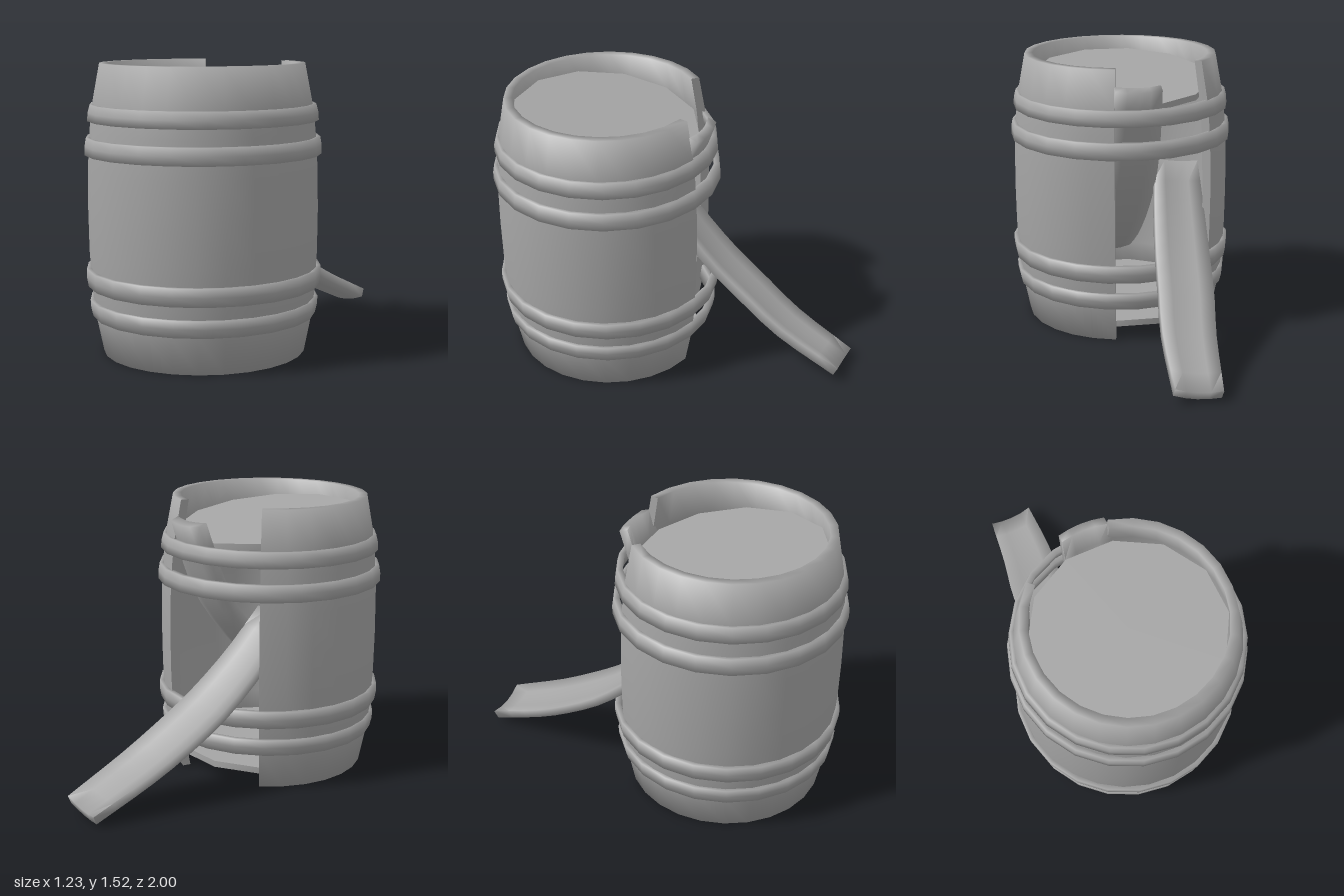
import * as THREE from 'three';
import { toCreasedNormals } from 'three/addons/utils/BufferGeometryUtils.js';

const CENTER_Z = 0.38;
const GAP_LEFT = Math.PI - 0.22; // angles of the broken opening at the back
const GAP_RIGHT = Math.PI + 0.79;
const SOFT = 1.8; // crease angle that keeps even square edges softly shaded

const material = new THREE.MeshStandardMaterial({ color: 0xa5a5a5 });
const doubleSided = new THREE.MeshStandardMaterial({ color: 0xa5a5a5, side: THREE.DoubleSide });

function addMesh(parent, name, geometry, mat = material) {
  const mesh = new THREE.Mesh(geometry, mat);
  mesh.name = name;
  parent.add(mesh);
  return mesh;
}

const toPoints = (list) => list.map(([x, y]) => new THREE.Vector2(x, y));

// Revolves a closed outline (outer side going up, inner side coming down)
function ring(outline, segments, start = 0, length = Math.PI * 2) {
  const pts = toPoints([...outline, outline[0]]);
  return toCreasedNormals(new THREE.LatheGeometry(pts, segments, start, length), SOFT);
}

// A loose stave: a box bent along a path, rolled, bowed across and wider in the middle
function looseStave(path, endWidth, midWidth, thickness, roll) {
  const curve = new THREE.CatmullRomCurve3(path.map((p) => new THREE.Vector3(...p)));
  const geo = new THREE.BoxGeometry(1, 1, 1, 4, 12, 1);
  const pos = geo.attributes.position;
  const v = new THREE.Vector3();
  for (let i = 0; i < pos.count; i++) {
    v.fromBufferAttribute(pos, i);
    const t = THREE.MathUtils.clamp(v.y + 0.5, 0, 1);
    const tangent = curve.getTangentAt(t);
    const side = new THREE.Vector3(-1, -roll, 0);
    side.addScaledVector(tangent, -side.dot(tangent)).normalize();
    const outward = new THREE.Vector3().crossVectors(side, tangent);
    const width = THREE.MathUtils.lerp(endWidth, midWidth, Math.sin(Math.PI * t));
    const bow = 0.02 * (0.5 - 4 * v.x * v.x);
    const p = curve.getPointAt(t)
      .addScaledVector(side, v.x * width)
      .addScaledVector(outward, v.z * thickness + bow);
    pos.setXYZ(i, p.x, p.y, p.z);
  }
  return toCreasedNormals(geo, SOFT);
}

export function createModel() {
  const model = new THREE.Group();
  model.name = 'brokenBarrel';
  const barrel = new THREE.Group();
  barrel.name = 'barrel';
  barrel.position.z = CENTER_Z;
  model.add(barrel);

  // Bulging wall, open at the back where two staves have come loose
  const wall = [
    [0.535, 0.01], [0.575, 0.21], [0.59, 0.34], [0.602, 0.55], [0.605, 0.77],
    [0.602, 0.99], [0.59, 1.19], [0.575, 1.32], [0.535, 1.53],
    [0.49, 1.53], [0.525, 1.32], [0.545, 1.1], [0.555, 0.77],
    [0.545, 0.44], [0.525, 0.21], [0.49, 0.01],
  ];
  const sweep = Math.PI * 2 - (GAP_RIGHT - GAP_LEFT);
  addMesh(barrel, 'wall', ring(wall, 22, GAP_RIGHT, sweep));

  // Cut faces of the wall on both sides of the opening
  for (const [name, angle] of [['wallEndLeft', GAP_LEFT], ['wallEndRight', GAP_RIGHT]]) {
    const cut = new THREE.ShapeGeometry(new THREE.Shape(toPoints(wall)));
    addMesh(barrel, name, cut.rotateY(angle - Math.PI / 2), doubleSided);
  }

  // Lid, sagging towards the opening, and level bottom board
  for (const [name, y, tilt] of [['lid', 1.375, -0.13], ['bottom', 0.09, 0]]) {
    const disc = new THREE.CylinderGeometry(0.505, 0.505, 0.035, 12, 1, false, Math.PI / 12);
    const mesh = addMesh(barrel, name, toCreasedNormals(disc, 0.6));
    mesh.position.y = y;
    mesh.rotation.x = tilt;
  }

  // Hoops: bottom height, top height, outer radius below and above
  const hoops = [
    [0.21, 0.3, 0.59, 0.604], [0.37, 0.465, 0.612, 0.62],
    [1.06, 1.15, 0.62, 0.612], [1.235, 1.32, 0.604, 0.59],
  ];
  hoops.forEach(([y0, y1, r0, r1], i) => {
    const outline = [
      [r0 - 0.03, y0], [r0, y0], [(r0 + r1) / 2 + 0.004, (y0 + y1) / 2], [r1, y1], [r1 - 0.03, y1],
    ];
    addMesh(barrel, `hoop${i + 1}`, ring(outline, 22));
  });

  // Stave fallen inwards, its top still caught behind the upper hoops
  addMesh(model, 'staveFallenIn', looseStave(
    [[0, 0.25, 0.78], [0, 0.4, 0.55], [0, 0.72, 0.2], [0, 1.04, -0.04], [0, 1.43, -0.19]],
    0.25, 0.29, 0.05, 0));

  // Stave hanging out of the opening down to the ground
  addMesh(model, 'staveFallenOut', looseStave(
    [[-0.28, 0.92, 0.2], [-0.26, 0.69, 0], [-0.235, 0.49, -0.22], [-0.215, 0.365, -0.4],
      [-0.18, 0.22, -0.63], [-0.155, 0.055, -0.98]],
    0.25, 0.3, 0.05, 0.12));

  return model;
}
